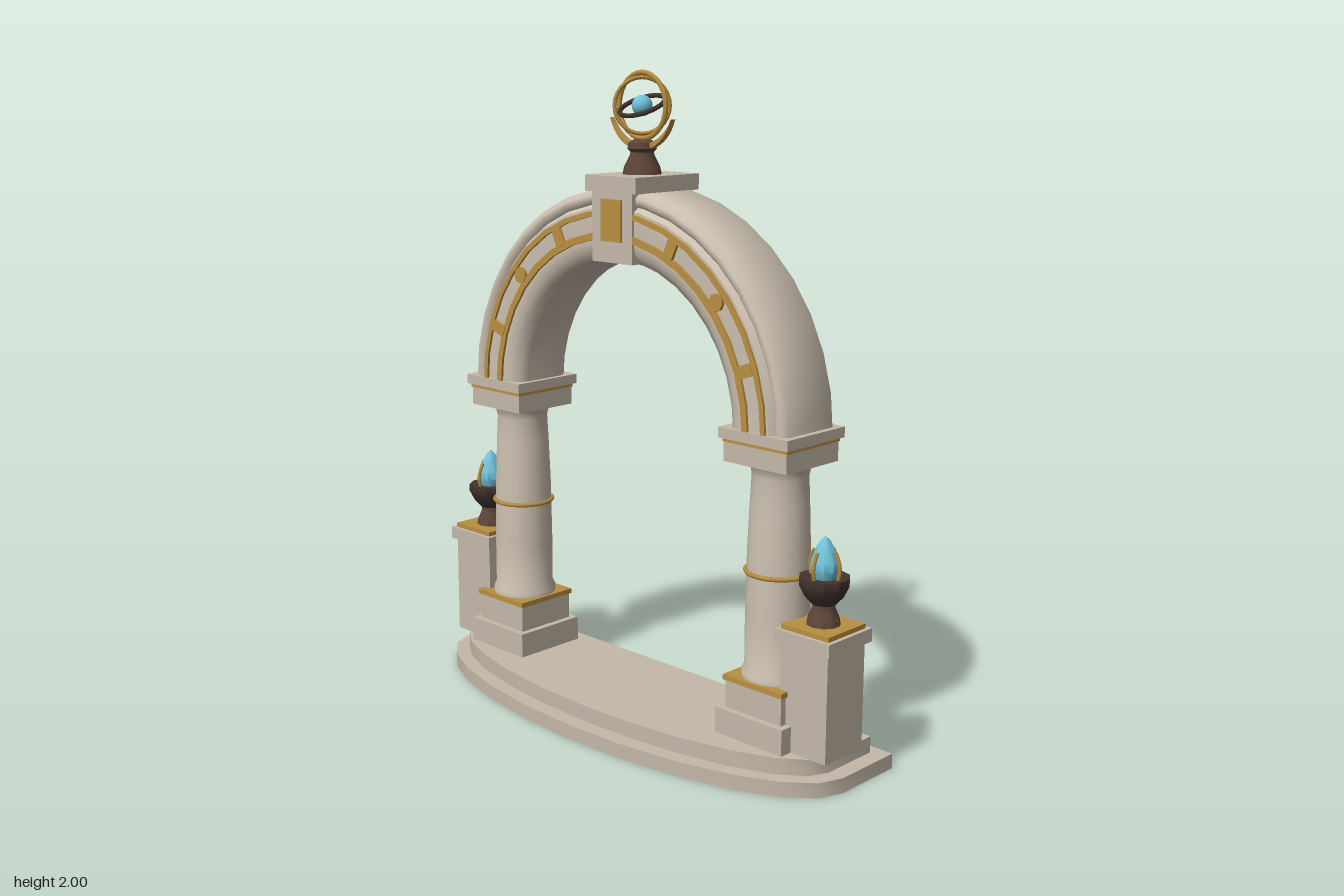
import * as THREE from 'three';
import { toCreasedNormals } from 'three/addons/utils/BufferGeometryUtils.js';

const mat = (name, color) => Object.assign(new THREE.MeshStandardMaterial({ color }), { name });

export function createModel() {
  const stone = mat('stone', 0xc4b8a8);
  const paleStone = mat('pale stone', 0xcdc1b1);
  const gold = mat('gold', 0xb98f40);
  const brown = mat('bronze brown', 0x5e4438);
  const darkBrown = mat('dark bronze', 0x43342e);
  const blue = mat('crystal blue', 0x6fc3dc);

  const root = new THREE.Group();
  root.name = 'archway';
  const CZ = -0.055; // depth centre of everything above the steps

  const add = (parent, name, geo, material, x = 0, y = 0, z = 0) => {
    const m = new THREE.Mesh(geo, material);
    m.name = name;
    m.position.set(x, y, z);
    parent.add(m);
    return m;
  };
  // square-ish block given by its bottom and top heights
  const block = (parent, name, material, hx, y0, y1, hz = hx, z = 0) =>
    add(parent, name, new THREE.BoxGeometry(hx * 2, y1 - y0, hz * 2), material, 0, (y0 + y1) / 2, z);
  const lathe = (pts, n, start = 0, length = Math.PI * 2, crease = 0.6) =>
    toCreasedNormals(new THREE.LatheGeometry(pts.map(p => new THREE.Vector2(...p)), n, start, length), crease);

  // steps: straight back, half-elliptical front
  const step = (name, a, b, back, y0, y1) => {
    const pts = [];
    for (let i = 0; i <= 12; i++) {
      const t = (i / 12) * Math.PI;
      pts.push(new THREE.Vector2(a * Math.cos(t), -0.03 + b * Math.sin(t)));
    }
    pts.push(new THREE.Vector2(-a, back), new THREE.Vector2(a, back));
    const g = new THREE.ExtrudeGeometry(new THREE.Shape(pts), { depth: y1 - y0, bevelEnabled: false });
    g.rotateX(Math.PI / 2);
    add(root, name, toCreasedNormals(g, 0.6), stone, 0, y1, 0);
  };
  step('lowerStep', 0.825, 0.292, -0.263, 0, 0.046);
  step('upperStep', 0.773, 0.238, -0.225, 0.046, 0.096);

  // columns
  const column = (x) => {
    const g = new THREE.Group();
    g.name = x > 0 ? 'leftColumn' : 'rightColumn';
    g.position.set(x, 0, CZ);
    root.add(g);
    block(g, 'plinth', stone, 0.126, 0.096, 0.175);
    block(g, 'upperPlinth', stone, 0.105, 0.175, 0.26);
    block(g, 'plinthTrim', gold, 0.111, 0.26, 0.276);
    add(g, 'shaft', lathe([[0.104, 0.276], [0.104, 0.29], [0.095, 0.31], [0.095, 0.45], [0.092, 0.65],
      [0.086, 0.8], [0.082, 0.88], [0.086, 0.9], [0.098, 0.92]], 20), paleStone);
    add(g, 'shaftRing', new THREE.TorusGeometry(0.096, 0.007, 6, 24).rotateX(Math.PI / 2), gold, 0, 0.595, 0);
    block(g, 'capital', stone, 0.115, 0.918, 0.976);
    block(g, 'capitalTrim', gold, 0.118, 0.976, 0.987);
    block(g, 'abacus', stone, 0.127, 0.987, 1.018);
  };

  // arch: half-turn lathe tipped upright
  const SEG = 18;
  const sweep = (pts, crease) => lathe(pts, SEG, -Math.PI / 2, Math.PI, crease).rotateX(-Math.PI / 2);
  const arch = new THREE.Group();
  arch.name = 'arch';
  arch.position.set(0, 1.0, CZ);
  root.add(arch);
  const half = [[0.662, 0.095], [0.645, 0.113], [0.63, 0.113], [0.618, 0.102], [0.606, 0.118],
    [0.505, 0.118], [0.48, 0.112], [0.455, 0.095], [0.445, 0.07]];
  const lower = half.map(([r, y]) => [r, -y]).reverse();
  add(arch, 'archRing', sweep([...lower, ...half, lower[0]], 0.9), paleStone);

  const band = (r0, r1, y0, y1) => sweep([[r1, y0], [r1, y1], [r0, y1], [r0, y0], [r1, y0]], 0.5);
  for (const s of [1, -1]) {
    const y0 = s > 0 ? -0.126 : 0.116;
    add(arch, 'outerBand', band(0.582, 0.598, y0, y0 + 0.01), gold);
    add(arch, 'innerBand', band(0.513, 0.534, y0, y0 + 0.01), gold);
    // studs between the bands
    for (const side of [1, -1]) {
      for (const deg of [20, 42, 65]) {
        const t = THREE.MathUtils.degToRad(deg);
        const geo = deg === 42
          ? new THREE.CylinderGeometry(0.026, 0.026, 0.016, 8).rotateX(Math.PI / 2)
          : new THREE.BoxGeometry(0.056, 0.036, 0.016);
        const m = add(arch, 'archStud', geo, gold, side * 0.553 * Math.cos(t), 0.553 * Math.sin(t), s * 0.12);
        m.rotation.z = side * t;
      }
    }
  }

  // keystone
  block(root, 'keystone', stone, 0.083, 1.445, 1.652, 0.127, CZ);
  block(root, 'keystoneCap', stone, 0.105, 1.652, 1.7, 0.135, CZ);
  for (const s of [1, -1])
    block(root, 'keystonePanel', gold, 0.042, 1.508, 1.632, 0.004, CZ + s * 0.129);

  // finial: stand, crescent, rings and orb
  const finial = new THREE.Group();
  finial.name = 'finial';
  finial.position.set(0, 1.9, CZ);
  root.add(finial);
  add(finial, 'finialStand', lathe([[0, -0.2], [0.06, -0.2], [0.056, -0.18], [0.038, -0.145],
    [0.036, -0.135], [0.045, -0.125], [0.042, -0.108], [0.025, -0.098], [0, -0.098]], 12), brown);
  const crescent = new THREE.Shape();
  crescent.absarc(0, 0, 0.13, Math.PI * 1.1, Math.PI * 1.9, false);
  crescent.absarc(0, 0.03, 0.143, -0.49, -Math.PI + 0.49, true);
  add(finial, 'crescent', new THREE.ExtrudeGeometry(crescent, { depth: 0.02, bevelEnabled: false, curveSegments: 20 }),
    gold, 0, 0, -0.01);
  add(finial, 'frontRing', new THREE.TorusGeometry(0.096, 0.008, 6, 28), gold);
  add(finial, 'turnedRing', new THREE.TorusGeometry(0.082, 0.006, 6, 28), gold).rotation.y = 0.86;
  add(finial, 'tiltedRing', new THREE.TorusGeometry(0.07, 0.007, 6, 28), darkBrown).rotation.x = Math.PI / 2 + 0.42;
  add(finial, 'orb', new THREE.SphereGeometry(0.031, 16, 12), blue);

  // side pedestals with crystal bowls
  const pedestal = (x) => {
    const g = new THREE.Group();
    g.name = x > 0 ? 'leftPedestal' : 'rightPedestal';
    g.position.set(x, 0, CZ);
    root.add(g);
    block(g, 'pedestalBlock', stone, 0.084, 0.096, 0.42);
    block(g, 'pedestalCap', stone, 0.098, 0.42, 0.46);
    block(g, 'pedestalTrim', gold, 0.085, 0.46, 0.474);
    add(g, 'bowlFoot', lathe([[0.05, 0.474], [0.047, 0.49], [0.034, 0.52], [0.034, 0.545]], 10), brown);
    add(g, 'bowl', lathe([[0, 0.535], [0.036, 0.535], [0.058, 0.56], [0.074, 0.592], [0.074, 0.614],
      [0.05, 0.612], [0, 0.606]], 10), darkBrown);
    add(g, 'crystal', lathe([[0, 0.6], [0.032, 0.606], [0.043, 0.635], [0.041, 0.66], [0.03, 0.69],
      [0.015, 0.717], [0, 0.732]], 10), blue);
    // prongs holding the crystal
    const path = new THREE.CatmullRomCurve3([[0.046, 0.606], [0.053, 0.635], [0.049, 0.662], [0.036, 0.69]]
      .map(([r, y]) => new THREE.Vector3(r, y, 0)));
    for (let i = 0; i < 4; i++)
      add(g, 'prong', new THREE.TubeGeometry(path, 8, 0.006, 5), gold).rotation.y = i * Math.PI / 2;
  };

  for (const s of [1, -1]) {
    column(s * 0.553);
    pedestal(s * 0.72);
  }
  return root;
}
